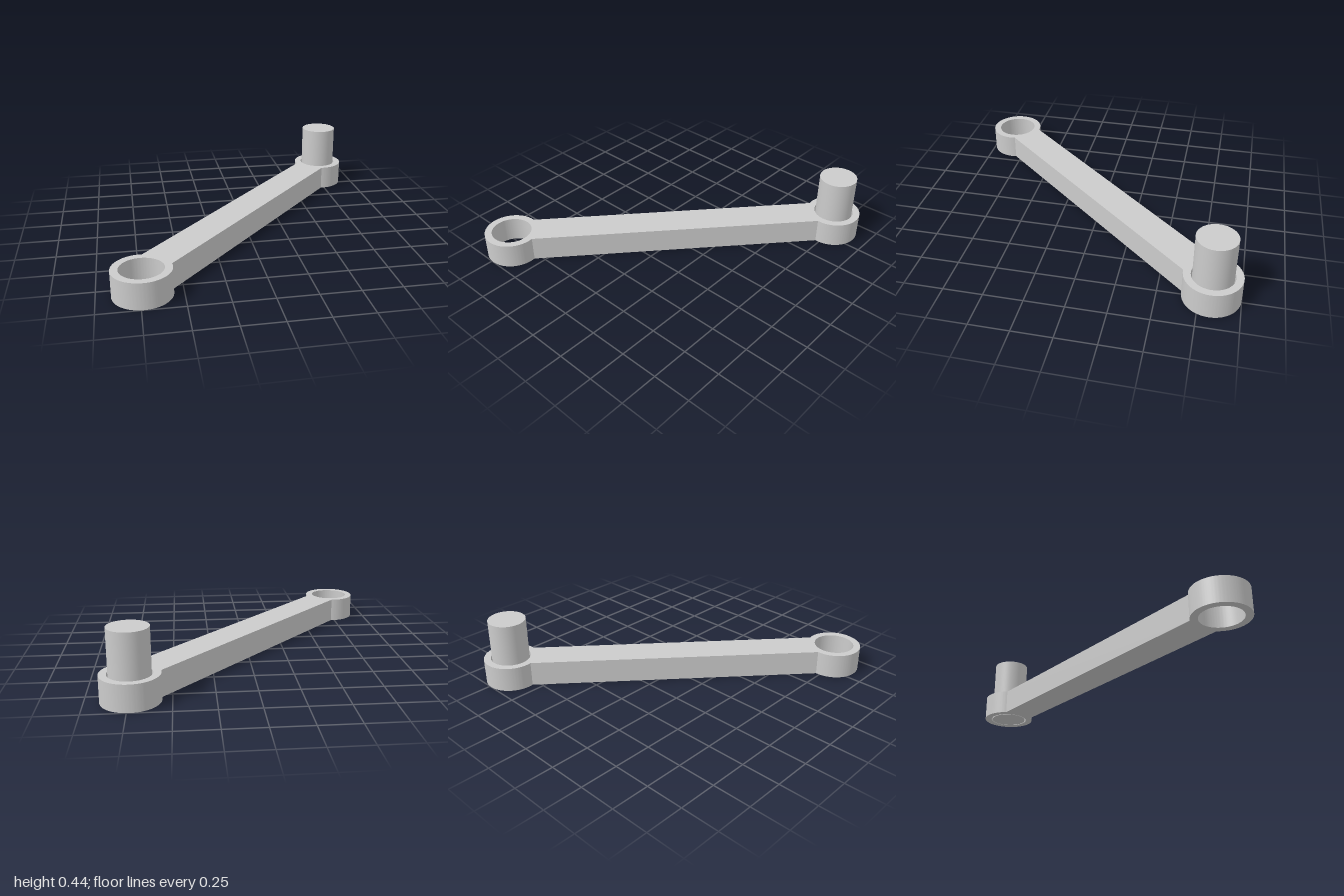
import * as THREE from 'three';
import { toCreasedNormals } from 'three/addons/utils/BufferGeometryUtils.js';

const END_X = 0.735, END_Z = 0.823;   // pin eye at (x, -z), open eye at (-x, z)
const EYE_R = 0.177, HOLE_R = 0.131, PIN_R = 0.123;
const BAR_HALF = 0.109, THICK = 0.165, PIN_H = 0.44;

export function createModel() {
  const group = new THREE.Group();
  const material = new THREE.MeshStandardMaterial({ color: 0xcccccc });

  // Link arm: straight bar with a round eye at each end, drawn along x
  const reach = Math.hypot(END_X, END_Z);
  const neck = Math.asin(BAR_HALF / EYE_R);
  const outline = new THREE.Shape();
  outline.absarc(reach, 0, EYE_R, neck - Math.PI, Math.PI - neck, false);
  outline.absarc(-reach, 0, EYE_R, neck, 2 * Math.PI - neck, false);
  outline.closePath();
  for (const side of [-1, 1]) {
    const hole = new THREE.Path();
    hole.absarc(side * reach, 0, HOLE_R, 0, 2 * Math.PI, true);
    outline.holes.push(hole);
  }
  const armGeometry = new THREE.ExtrudeGeometry(outline, {
    depth: THICK, bevelEnabled: false, curveSegments: 64,
  });
  armGeometry.rotateZ(Math.atan2(END_Z, END_X)); // swing onto the diagonal
  armGeometry.rotateX(-Math.PI / 2);             // lay flat
  const arm = new THREE.Mesh(toCreasedNormals(armGeometry, Math.PI / 6), material);
  arm.name = 'linkArm';
  group.add(arm);

  // Pin standing loosely in the rear eye, flush with the underside
  const pin = new THREE.Mesh(new THREE.CylinderGeometry(PIN_R, PIN_R, PIN_H, 64), material);
  pin.name = 'pin';
  pin.position.set(END_X, PIN_H / 2, -END_Z);
  group.add(pin);

  return group;
}
